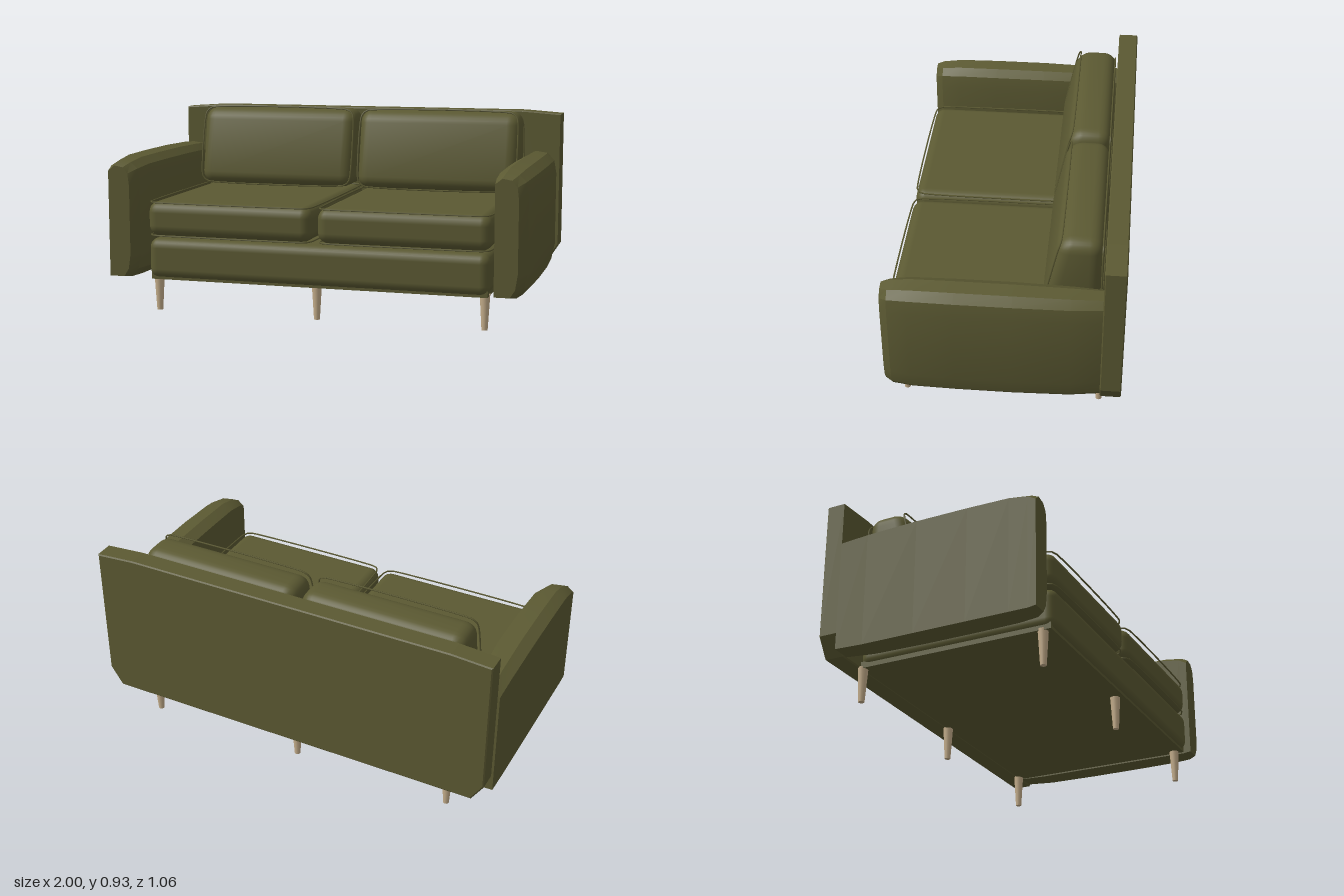
import * as THREE from 'three';
import { toCreasedNormals } from 'three/addons/utils/BufferGeometryUtils.js';
import { RoundedBoxGeometry } from 'three/addons/geometries/RoundedBoxGeometry.js';

const fabric = new THREE.MeshStandardMaterial({ color: 0x5b5932 });
fabric.name = 'olive fabric';
const wood = new THREE.MeshStandardMaterial({ color: 0xc4ad8a });
wood.name = 'pale wood';

function add(group, name, geometry, material = fabric) {
  const mesh = new THREE.Mesh(geometry, material);
  mesh.name = name;
  group.add(mesh);
  return mesh;
}

// Soft block given by its limits on each axis
function softBlock([x0, x1], [y0, y1], [z0, z1], radius) {
  const g = new RoundedBoxGeometry(x1 - x0, y1 - y0, z1 - z0, 3, radius);
  return g.translate((x0 + x1) / 2, (y0 + y1) / 2, (z0 + z1) / 2);
}

// Move each vertex by a rule, then rebuild normals
function reshape(geometry, rule) {
  const p = geometry.attributes.position;
  const v = new THREE.Vector3();
  for (let i = 0; i < p.count; i++) {
    rule(v.fromBufferAttribute(p, i));
    p.setXYZ(i, v.x, v.y, v.z);
  }
  return toCreasedNormals(geometry, 0.6);
}

// Thin cord around a rounded rectangle; place(a, b) maps it into space
function cord([a0, a1], [b0, b1], r, place) {
  const pts = [];
  const corners = [[a1 - r, b1 - r], [a0 + r, b1 - r], [a0 + r, b0 + r], [a1 - r, b0 + r]];
  corners.forEach(([a, b], k) => {
    for (let i = 0; i <= 3; i++) {
      const t = (k + i / 3) * Math.PI / 2;
      pts.push(place(a + r * Math.cos(t), b + r * Math.sin(t)));
    }
  });
  const curve = new THREE.CatmullRomCurve3(pts, true, 'centripetal');
  return new THREE.TubeGeometry(curve, 110, 0.004, 5, true);
}

// Arm: one profile lofted through sections [z, width, bottom, top]
function armGeometry(x0) {
  const profile = [[0, 0], [0.68, 0], [0.9, 0.07], [1, 0.2], [1, 0.82],
    [0.93, 0.93], [0.7, 0.985], [0.3, 1], [0, 0.95]];
  const sections = [[-0.435, 0.135, 0.165, 0.715], [-0.3, 0.158, 0.16, 0.725], [-0.05, 0.17, 0.16, 0.732],
    [0.2, 0.17, 0.16, 0.732], [0.4, 0.163, 0.16, 0.728], [0.49, 0.142, 0.16, 0.712], [0.527, 0.105, 0.165, 0.69]];
  const n = profile.length;
  const pos = [];
  const index = [];
  for (const [z, w, lo, hi] of sections) {
    for (const [u, v] of profile) pos.push(x0 + u * w, lo + v * (hi - lo), z);
  }
  const last = (sections.length - 1) * n;
  for (let s = 0; s < last; s += n) {
    for (let j = 0; j < n; j++) {
      const k = (j + 1) % n;
      index.push(s + j, s + k, s + n + j, s + k, s + n + k, s + n + j);
    }
  }
  for (let j = 1; j < n - 1; j++) {
    index.push(last, last + j, last + j + 1, 0, j + 1, j);
  }
  const g = new THREE.BufferGeometry();
  g.setAttribute('position', new THREE.Float32BufferAttribute(pos, 3));
  g.setIndex(index);
  return toCreasedNormals(g, 0.45);
}

// Back panel: gently crowned top, cut lower corners
function backGeometry() {
  const s = new THREE.Shape();
  s.moveTo(-0.93, 0.165);
  s.lineTo(0.93, 0.165);
  s.lineTo(0.985, 0.25);
  s.lineTo(0.985, 0.895);
  s.lineTo(0.8, 0.908);
  s.lineTo(-0.8, 0.908);
  s.lineTo(-0.985, 0.895);
  s.lineTo(-0.985, 0.25);
  s.closePath();
  const g = new THREE.ExtrudeGeometry(s, {
    depth: 0.085, bevelEnabled: true, bevelSize: 0.006, bevelThickness: 0.005, bevelSegments: 1,
  });
  return g.translate(0, 0, -0.525);
}

export function createModel() {
  const sofa = new THREE.Group();
  sofa.name = 'sofa';

  add(sofa, 'backPanel', backGeometry());
  add(sofa, 'rightArm', armGeometry(-1));
  add(sofa, 'leftArm', armGeometry(0.83));

  // Seat base with a flat underside
  add(sofa, 'seatBase', softBlock([-0.81, 0.81], [0.16, 0.35], [-0.435, 0.52], 0.045));
  const under = new THREE.BoxGeometry(1.6, 0.03, 0.93);
  add(sofa, 'underside', under.translate(0, 0.17, 0.035));

  // Front of the back cushions leans backward as it rises
  const lean = (y) => {
    const t = (y - 0.53) / 0.385;
    return -0.16 - 0.03 * t - 0.05 * t * t;
  };

  for (const side of [-1, 1]) {
    const label = side > 0 ? 'left' : 'right';
    const xs = side > 0 ? [0.012, 0.815] : [-0.815, -0.012];

    add(sofa, label + 'SeatCushion', softBlock(xs, [0.36, 0.522], [-0.43, 0.518], 0.05));
    const cordX = [xs[0] + 0.008, xs[1] - 0.008];
    for (const [name, y] of [['Lower', 0.364], ['Upper', 0.52]]) {
      add(sofa, label + 'Seat' + name + 'Piping',
        cord(cordX, [-0.42, 0.512], 0.04, (x, z) => new THREE.Vector3(x, y, z)));
    }

    const back = softBlock(xs, [0.53, 0.915], [-1, 0], 0.06);
    add(sofa, label + 'BackCushion', reshape(back, (v) => {
      // Keep rounded edges undistorted: slide only the front half
      v.z = v.z > -0.5 ? v.z + lean(v.y) : v.z + 0.575;
    }));
    add(sofa, label + 'BackFrontPiping',
      cord(cordX, [0.54, 0.916], 0.045, (x, y) => new THREE.Vector3(x, y, lean(y) - 0.005)));
    add(sofa, label + 'BackRearPiping',
      cord(cordX, [0.54, 0.885], 0.045, (x, y) => new THREE.Vector3(x, y, -0.422)));
  }

  // Six tapered legs
  for (const x of [-0.78, 0, 0.78]) {
    for (const z of [-0.43, 0.455]) {
      const leg = add(sofa, 'leg', new THREE.CylinderGeometry(0.024, 0.014, 0.165, 12), wood);
      leg.position.set(x, 0.0825, z);
    }
  }
  return sofa;
}
